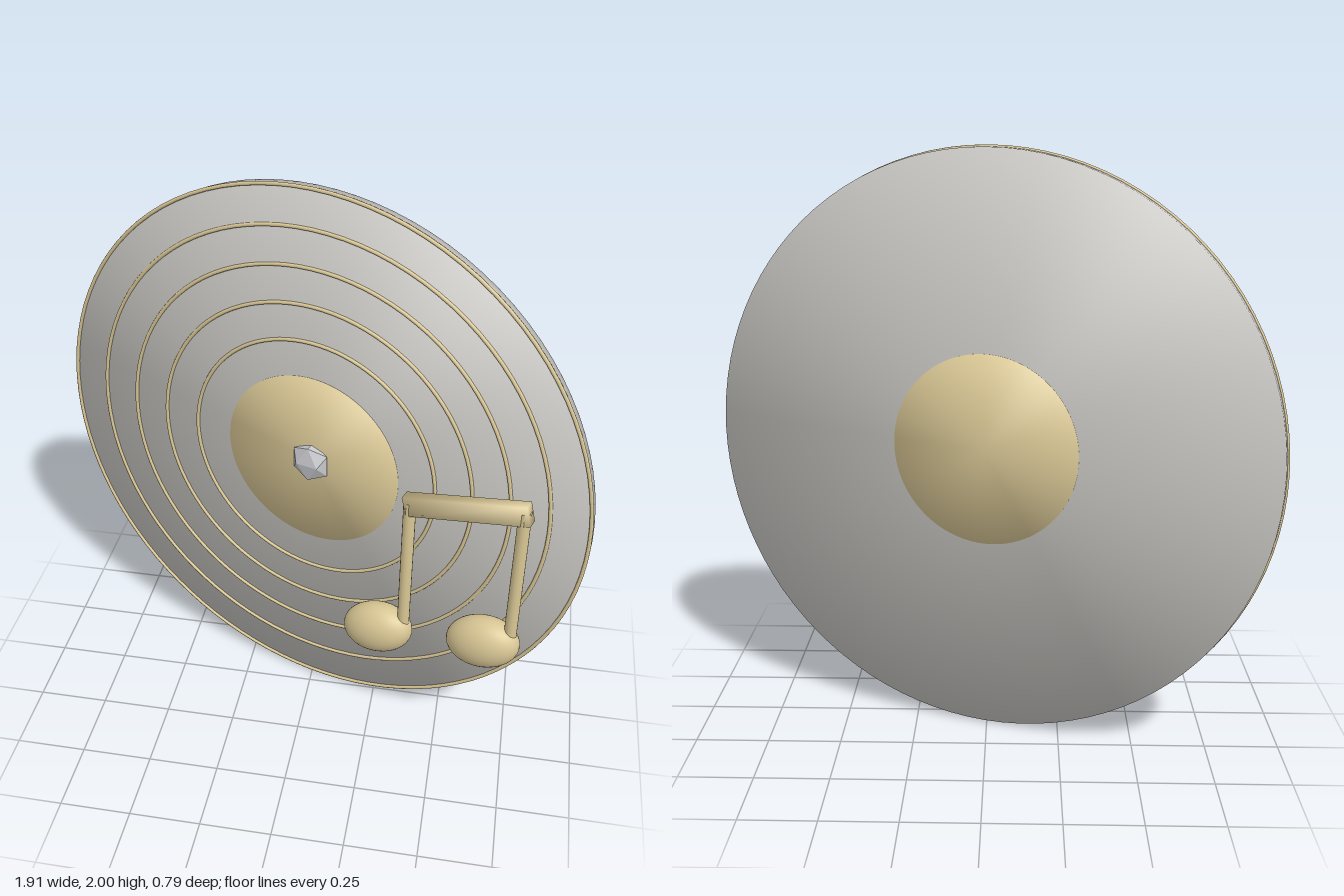
import * as THREE from 'three';

const silver = new THREE.MeshStandardMaterial({ name: 'silver', color: 0xc4c3bf });
const gold = new THREE.MeshStandardMaterial({ name: 'gold', color: 0xd9c795 });
const crystal = new THREE.MeshStandardMaterial({ name: 'crystal', color: 0xc6c7cb });
crystal.flatShading = true;

function part(name, geometry, material, x = 0, y = 0, z = 0, tilt = 0) {
  const mesh = new THREE.Mesh(geometry, material);
  mesh.name = name;
  mesh.position.set(x, y, z);
  mesh.rotation.z = tilt;
  return mesh;
}

// Smooth the normals over the edges of a solid: each corner leans outward on all axes
function soften(geometry, rule) {
  const p = geometry.attributes.position;
  const n = new THREE.Vector3();
  for (let i = 0; i < p.count; i++) {
    rule(n.fromBufferAttribute(p, i));
    n.normalize();
    geometry.attributes.normal.setXYZ(i, n.x, n.y, n.z);
  }
  return geometry;
}

// Round plate facing z, with normals that roll over at the rim
function plate(radius, thickness) {
  const g = new THREE.CylinderGeometry(radius, radius, thickness, 96);
  soften(g, (n) => n.set(n.x / radius, Math.sign(n.y), n.z / radius));
  return g.rotateX(Math.PI / 2);
}

export function createModel() {
  const model = new THREE.Group();
  model.name = 'recordWithNotes';

  // Everything shares the turned frame of the record
  const record = new THREE.Group();
  record.name = 'record';
  record.position.set(0.002, 1, -0.075);
  record.rotation.y = -0.315;
  model.add(record);

  record.add(part('disc', plate(0.9945, 0.033), silver));
  record.add(part('label', plate(0.329, 0.04), gold));

  // Raised groove rings on the front
  for (let i = 0; i < 5; i++) {
    const ring = new THREE.TorusGeometry(0.464 + i * 0.1325, 0.0066, 8, 96);
    record.add(part('grooveRing', ring, gold, 0, 0, 0.0185));
  }

  // Faceted gem on the spindle
  const gem = new THREE.IcosahedronGeometry(0.076, 0).rotateX(Math.PI / 2).scale(1, 1, 0.5);
  record.add(part('centreGem', gem, crystal, 0, 0, 0.027));

  // Pair of joined notes floating before the disc
  const notes = new THREE.Group();
  notes.name = 'notes';
  notes.position.z = 0.167;
  record.add(notes);

  const layout = [
    { head: [0.345, -0.5], stem: 0.438, bottom: -0.47, top: 0.075 },
    { head: [0.729, -0.4], stem: 0.819, bottom: -0.37, top: 0.17 },
  ];
  for (const { head, stem, bottom, top } of layout) {
    const ball = new THREE.SphereGeometry(1, 32, 20).scale(0.13, 0.095, 0.076);
    notes.add(part('noteHead', ball, gold, head[0], head[1], 0.003, 0.32));
    const rod = new THREE.CylinderGeometry(0.021, 0.021, top - bottom, 16);
    notes.add(part('noteStem', rod, gold, stem, (top + bottom) / 2));
  }

  const beam = soften(new THREE.BoxGeometry(0.425, 0.07, 0.04),
    (n) => n.set(Math.sign(n.x), Math.sign(n.y), Math.sign(n.z)));
  notes.add(part('noteBeam', beam, gold, 0.631, 0.113, 0, 0.25));

  return model;
}
